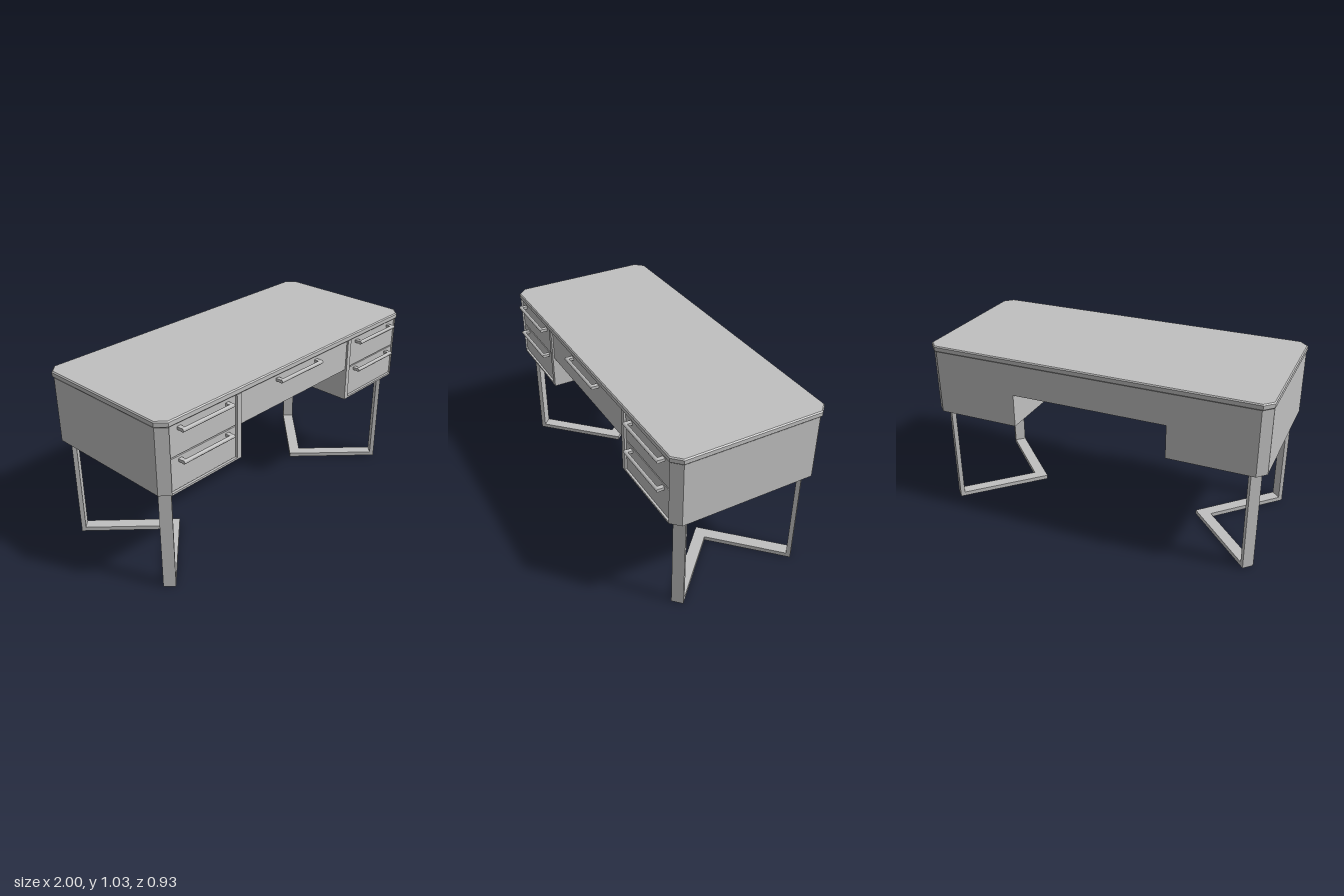
import * as THREE from 'three';

const grey = new THREE.MeshStandardMaterial({ color: 0xc0c0c0 });
grey.name = 'greyFinish';

// Vertical prism from a plan outline of [x, z] points, with an optional chamfered edge
function prism(points, y0, y1, bevel = 0) {
  const shape = new THREE.Shape(points.map(([x, z]) => new THREE.Vector2(x, z)));
  const geo = new THREE.ExtrudeGeometry(shape, {
    depth: y1 - y0 - 2 * bevel, bevelEnabled: bevel > 0, bevelThickness: bevel,
    bevelSize: bevel, bevelOffset: -bevel, bevelSegments: 1,
  });
  return geo.rotateX(Math.PI / 2).translate(0, y1 - bevel, 0);
}

// Box given by its limits on each axis
function box(x0, x1, y0, y1, z0, z1) {
  return new THREE.BoxGeometry(Math.abs(x1 - x0), y1 - y0, z1 - z0)
    .translate((x0 + x1) / 2, (y0 + y1) / 2, (z0 + z1) / 2);
}

function add(parent, name, geo) {
  const mesh = new THREE.Mesh(geo, grey);
  mesh.name = name;
  parent.add(mesh);
  return mesh;
}

// Six-sided bar pull standing on two posts
function addHandle(parent, x, y, length) {
  const handle = new THREE.Group();
  handle.name = 'handle';
  add(handle, 'handleBar', new THREE.CylinderGeometry(0.011, 0.011, length, 6)
    .rotateZ(Math.PI / 2).translate(0, 0, 0.455));
  for (const s of [-1, 1]) {
    const px = s * (length / 2 - 0.012);
    add(handle, 'handlePost', box(px - 0.012, px + 0.012, -0.008, 0.008, 0.415, 0.453));
  }
  handle.position.set(x, y, 0);
  parent.add(handle);
}

// Drawer pedestal with a recessed front, s = side
function addPedestal(parent, s) {
  const g = new THREE.Group();
  g.name = s > 0 ? 'leftPedestal' : 'rightPedestal';
  add(g, 'pedestalCase', prism([
    [0.455, 0.4], [0.945, 0.4], [0.945, 0.43], [0.995, 0.38],
    [0.995, -0.407], [0.945, -0.457], [0.455, -0.457],
  ].map(([x, z]) => [s * x, z]), 0.615, 0.995));
  add(g, 'pedestalDivider', box(s * 0.455, s * 0.485, 0.615, 0.995, 0.4, 0.43));
  add(g, 'pedestalSill', box(s * 0.485, s * 0.945, 0.615, 0.626, 0.4, 0.43));
  for (const [y0, y1, hy] of [[0.63, 0.812, 0.79], [0.819, 0.992, 0.966]]) {
    add(g, 'drawerFront', box(s * 0.488, s * 0.942, y0, y1, 0.4, 0.42));
    addHandle(g, s * 0.712, hy, 0.35);
  }
  parent.add(g);
}

// Flat-bar leg frame: two posts joined by V-shaped bars above and below
function addLegFrame(parent, s) {
  const g = new THREE.Group();
  g.name = s > 0 ? 'leftLegFrame' : 'rightLegFrame';
  const zc = -0.0175;
  const t = 0.0177;
  const plan = (pts) => pts.map(([x, z]) => [s * x, z + zc]);
  const vBar = plan([
    [0.51, 0], [0.9125, 0.4025], [0.96, 0.355], [0.605, 0], [0.96, -0.355], [0.9125, -0.4025],
  ]);
  add(g, 'footBar', prism(vBar, 0, 0.025));
  add(g, 'upperBar', prism(vBar, 0.59, 0.615));
  for (const f of [1, -1]) {
    add(g, f > 0 ? 'frontPost' : 'backPost', prism(plan([
      [0.9125, f * 0.4025], [0.96, f * 0.355],
      [0.96 - t, f * (0.355 - t)], [0.9125 - t, f * (0.4025 - t)],
    ]), 0.025, 0.59));
  }
  parent.add(g);
}

export function createModel() {
  const desk = new THREE.Group();
  desk.name = 'desk';

  // Top with cut corners
  add(desk, 'deskTop', prism([
    [-0.95, 0.433], [0.95, 0.433], [1, 0.383], [1, -0.415],
    [0.95, -0.465], [-0.95, -0.465], [-1, -0.415], [-1, 0.383],
  ], 0.995, 1.03, 0.006));

  // Centre drawer, its box stopping short of the back panel
  add(desk, 'centreDrawerFront', box(-0.455, 0.455, 0.81, 0.992, 0.402, 0.42));
  add(desk, 'centreDrawerBox', box(-0.44, 0.44, 0.87, 0.98, -0.15, 0.402));
  addHandle(desk, 0, 0.966, 0.35);
  add(desk, 'backPanel', box(-0.455, 0.455, 0.81, 0.995, -0.457, -0.437));

  for (const s of [1, -1]) {
    addPedestal(desk, s);
    addLegFrame(desk, s);
  }
  return desk;
}
